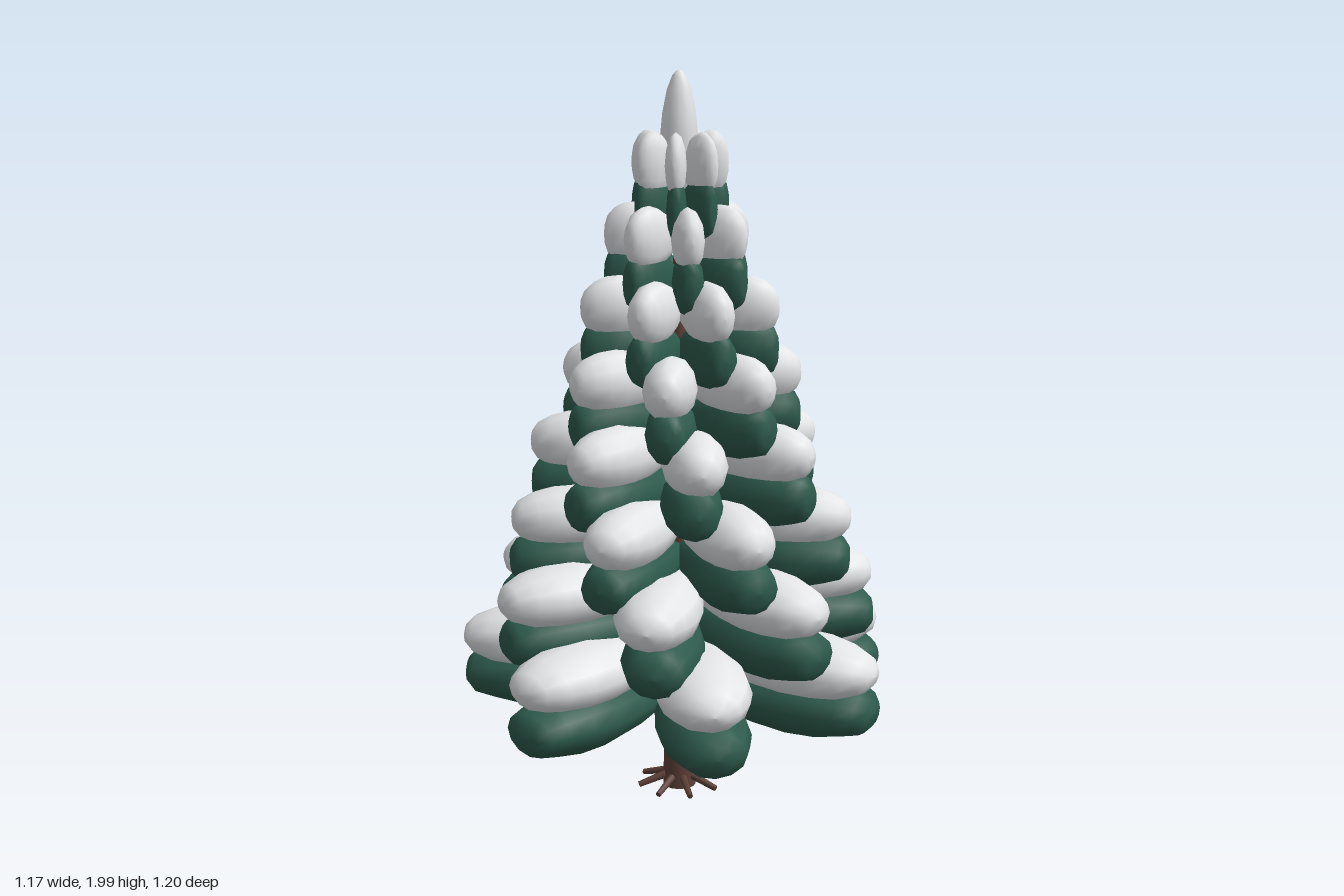
import * as THREE from 'three';

export function createModel() {
  const tree = new THREE.Group();
  tree.name = 'snowyFirTree';
  const material = (name, color) => {
    const m = new THREE.MeshStandardMaterial({ color });
    m.name = name;
    return m;
  };
  const snow = material('snow', 0xe6e8ea);
  const green = material('needleGreen', 0x2d5a4c);
  const bark = material('bark', 0x5d4037);

  const add = (parent, name, geometry, mat) => {
    const mesh = new THREE.Mesh(geometry, mat);
    mesh.name = name;
    parent.add(mesh);
    return mesh;
  };
  // Small seeded variation in -1..1
  let seed = 7;
  const vary = () => {
    seed = (seed * 16807) % 2147483647;
    return (seed / 2147483647) * 2 - 1;
  };
  const lathe = (points, sides) =>
    new THREE.LatheGeometry(points.map(([r, y]) => new THREE.Vector2(r, y)), sides);

  // Unit bough: a plump spindle along +x, one unit long, blunt at the tip
  const boughShape = (tip) => lathe([
    [0, 0], [0.3, 0.06], [0.62, 0.22], [0.88, 0.42], [1, 0.6],
    [0.97, 0.74], [0.82, 0.86], [0.58 + tip, 0.95], [0.3 + tip, 0.99], [0, 1],
  ], 12).rotateZ(-Math.PI / 2);
  const snowShape = boughShape(0);
  const needleShape = boughShape(0.1);

  // Eight tiers of seven boughs, each tier turned by the golden angle
  const golden = Math.PI * (3 - Math.sqrt(5));
  for (let t = 0; t < 8; t++) {
    const tier = new THREE.Group();
    tier.name = 'tier' + (t + 1);
    tier.position.y = 0.33 + t * 0.188;
    const reach = 0.61 - t * 0.068;
    for (let i = 0; i < 7; i++) {
      const bough = new THREE.Group();
      bough.name = 'bough';
      bough.rotation.y = t * golden + (i * Math.PI * 2) / 7;
      const needles = add(bough, 'needles', needleShape, green);
      needles.scale.set(reach * (0.985 + 0.015 * vary()), 0.088, reach * 0.2);
      needles.rotation.y = 0.035 * vary();
      const cap = add(bough, 'snowCap', snowShape, snow);
      cap.position.y = 0.113;
      cap.scale.set(reach * (0.99 + 0.012 * vary()), 0.086, reach * 0.21);
      cap.rotation.y = 0.02 * vary();
      tier.add(bough);
    }
    tree.add(tier);
  }

  // Snowy tip
  add(tree, 'snowyTip', lathe([
    [0, 1.66], [0.03, 1.69], [0.046, 1.76], [0.05, 1.83], [0.044, 1.89],
    [0.032, 1.95], [0.018, 1.985], [0.008, 1.997], [0, 2],
  ], 12), snow);

  // Trunk
  const trunk = add(tree, 'trunk', new THREE.CylinderGeometry(0.012, 0.046, 1.73, 12), bark);
  trunk.position.y = 0.875;

  // Roots splayed around the foot
  const rootShape = new THREE.CylinderGeometry(0.008, 0.012, 0.1, 6).rotateZ(-Math.PI / 2);
  for (let i = 0; i < 8; i++) {
    const pivot = new THREE.Group();
    pivot.name = 'rootPivot';
    pivot.rotation.y = (i * Math.PI * 2) / 8;
    const root = add(pivot, 'root', rootShape, bark);
    root.position.set(0.07, 0.033, 0);
    root.rotation.z = -0.3;
    tree.add(pivot);
  }

  tree.position.x = -0.04;
  const model = new THREE.Group();
  model.name = 'model';
  model.add(tree);
  return model;
}
